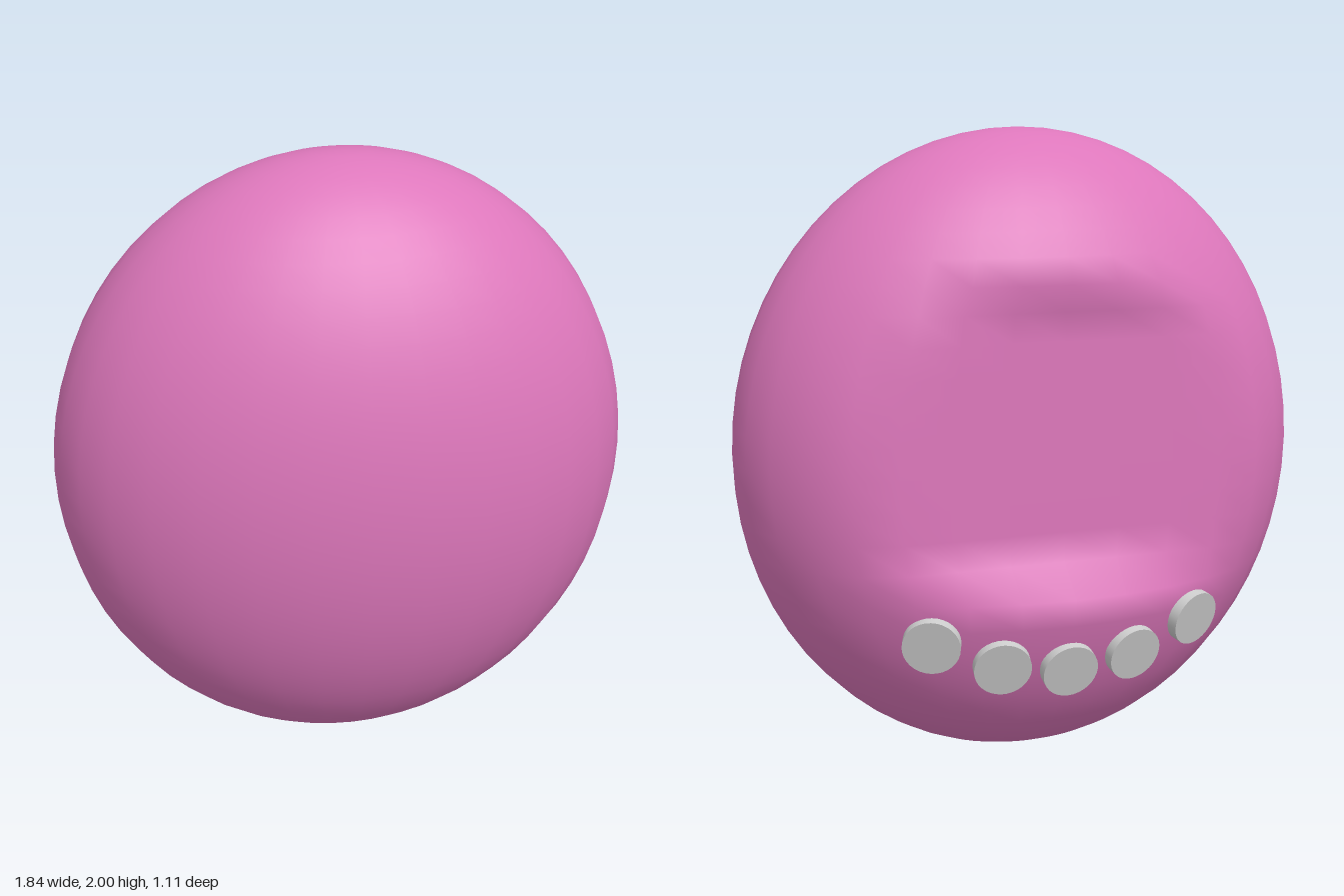
import * as THREE from 'three';
import { mergeVertices } from 'three/addons/utils/BufferGeometryUtils.js';

const RX = 0.92, RY = 1, RZ = 0.575; // body radii
const CY = 1, CZ = -0.02;            // body centre

// Ellipsoid body with a flat recess pressed into its back
function makeBody(material) {
  let geo = new THREE.SphereGeometry(1, 32, 32);
  geo.scale(RX, RY, RZ);
  geo.translate(0, CY, CZ);
  const p = geo.attributes.position;
  for (let i = 0; i < p.count; i++) {
    const y = p.getY(i);
    if (y > 0.68 && y < 1.5 && p.getZ(i) < -0.45) p.setZ(i, -0.45);
  }
  geo.deleteAttribute('uv');
  geo.deleteAttribute('normal');
  geo = mergeVertices(geo, 1e-4);
  geo.computeVertexNormals();
  const mesh = new THREE.Mesh(geo, material);
  mesh.name = 'body';
  return mesh;
}

// Thin disc lying on the back of the body at (x, y)
function makeButton(x, y, material) {
  const dy = y - CY;
  const dz = -RZ * Math.sqrt(1 - (x / RX) ** 2 - (dy / RY) ** 2);
  const normal = new THREE.Vector3(x / RX ** 2, 0.65 * dy / RY ** 2, dz / RZ ** 2).normalize();
  const mesh = new THREE.Mesh(new THREE.CylinderGeometry(0.088, 0.088, 0.035, 32), material);
  mesh.position.set(x, y, CZ + dz).addScaledVector(normal, 0.015);
  mesh.quaternion.setFromUnitVectors(new THREE.Vector3(0, 1, 0), normal);
  mesh.name = 'button';
  return mesh;
}

export function createModel() {
  const group = new THREE.Group();
  group.name = 'pebbleDevice';
  const pink = new THREE.MeshStandardMaterial({ color: 0xdd77bb });
  const grey = new THREE.MeshStandardMaterial({ color: 0xcccccc });

  group.add(makeBody(pink));

  // Row of five buttons curving below the recess
  const buttons = new THREE.Group();
  buttons.name = 'buttons';
  for (let i = -2; i <= 2; i++) {
    buttons.add(makeButton(i * 0.21, 0.39 + 0.0275 * i * i, grey));
  }
  group.add(buttons);
  return group;
}
